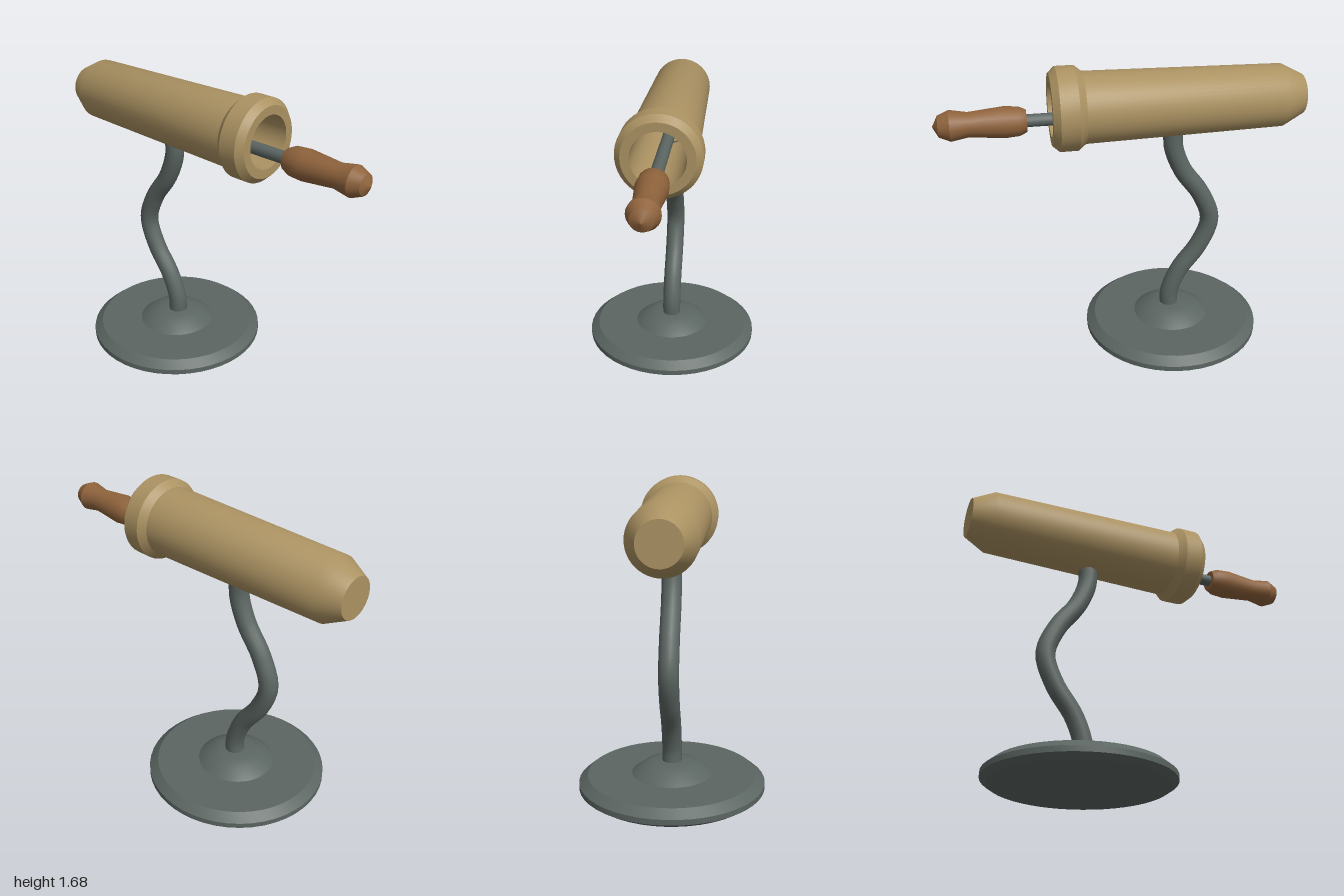
import * as THREE from 'three';
import { toCreasedNormals } from 'three/addons/utils/BufferGeometryUtils.js';

const material = (name, color) => {
  const m = new THREE.MeshStandardMaterial({ color });
  m.name = name;
  return m;
};

// Turned part from [radius, height] pairs, listed bottom to top
function turned(name, profile, segments, mat, crease = 0.4) {
  const geo = new THREE.LatheGeometry(profile.map(([r, h]) => new THREE.Vector2(r, h)), segments);
  const mesh = new THREE.Mesh(toCreasedNormals(geo, crease), mat);
  mesh.name = name;
  return mesh;
}

// Lay a turned part along +x at height y
function layAlongX(mesh, y) {
  mesh.rotation.z = -Math.PI / 2;
  mesh.position.y = y;
  return mesh;
}

export function createModel() {
  const tan = material('tan', 0xab9262);
  const brown = material('brown wood', 0x8f633c);
  const grey = material('grey metal', 0x5b6561);
  const group = new THREE.Group();

  // Round foot with a low dome in the middle
  const base = turned('base', [
    [0, 0], [0.475, 0], [0.512, 0.025], [0.512, 0.055], [0.463, 0.095],
    [0.22, 0.095], [0.155, 0.145], [0.1, 0.16], [0, 0.16],
  ], 48, grey);
  base.position.x = -0.3;
  group.add(base);

  // Bent stem
  const path = new THREE.CatmullRomCurve3([
    [-0.288, 0.12], [-0.288, 0.23], [-0.345, 0.38], [-0.457, 0.54], [-0.517, 0.71],
    [-0.457, 0.88], [-0.345, 1.04], [-0.288, 1.19], [-0.288, 1.32],
  ].map(([x, y]) => new THREE.Vector3(x, y, 0)));
  const stem = new THREE.Mesh(new THREE.TubeGeometry(path, 32, 0.054, 14), grey);
  stem.name = 'stem';
  group.add(stem);

  // Hollow barrel with a flared collar and an open end
  group.add(layAlongX(turned('barrel', [
    [0, -1], [0.11, -1], [0.172, -0.88], [0.193, 0.21], [0.226, 0.25], [0.226, 0.35],
    [0.193, 0.386], [0.145, 0.386], [0.14, -0.4], [0, -0.4],
  ], 48, tan, 0.5), 1.45));

  // Rod sliding into the barrel
  group.add(layAlongX(turned('rod', [
    [0, -0.39], [0.034, -0.39], [0.034, 0.53], [0, 0.53],
  ], 16, grey), 1.397));

  // Wooden grip
  group.add(layAlongX(turned('handle', [
    [0, 0.512], [0.06, 0.512], [0.078, 0.55], [0.084, 0.63], [0.066, 0.815],
    [0.083, 0.91], [0.057, 0.97], [0, 1],
  ], 20, brown, 0.5), 1.397));

  return group;
}
